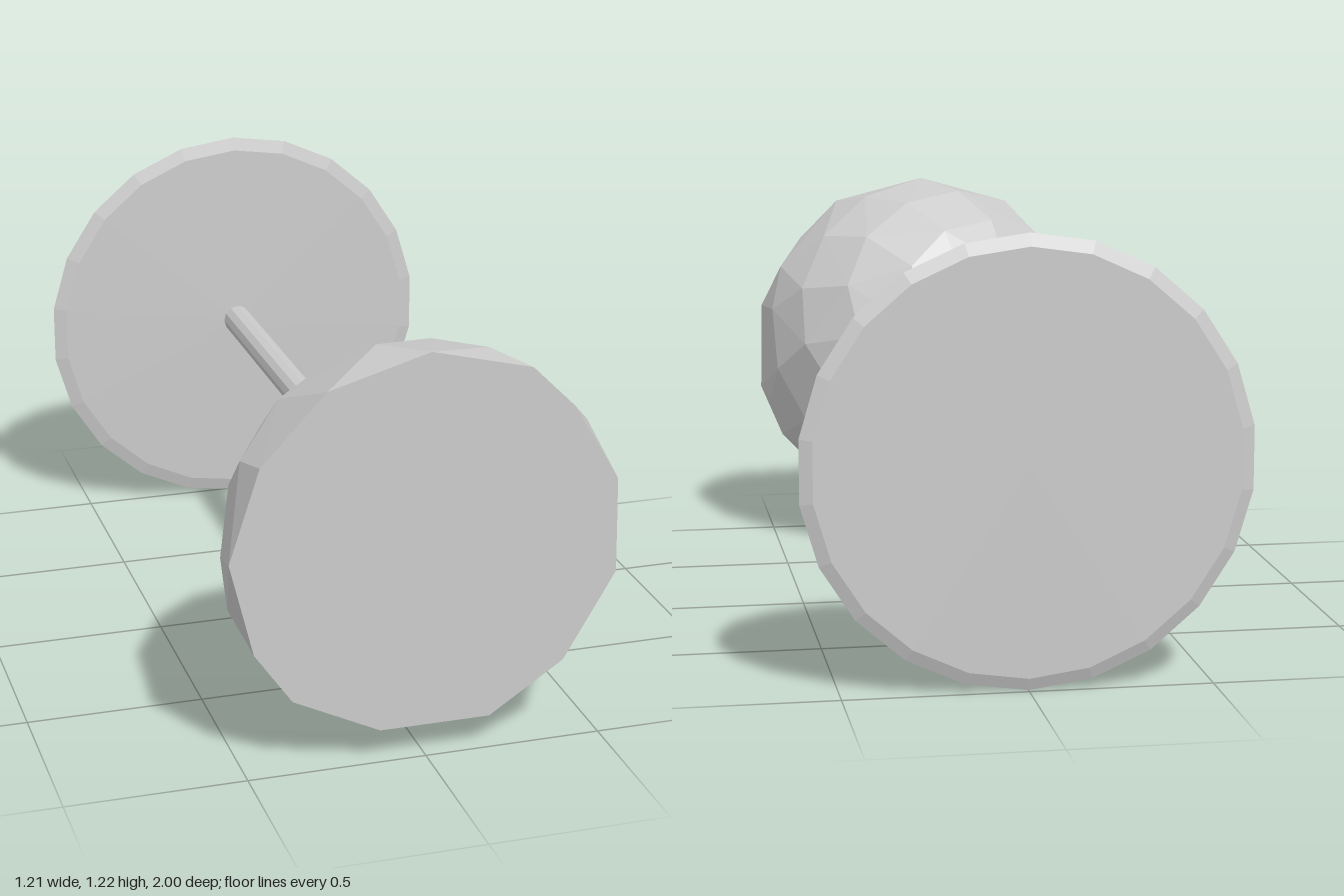
import * as THREE from 'three';
import { ConvexGeometry } from 'three/addons/geometries/ConvexGeometry.js';

export function createModel() {
  const model = new THREE.Group();
  const material = new THREE.MeshStandardMaterial({ color: 0xcccccc, flatShading: true });
  const add = (name, geometry) => {
    const mesh = new THREE.Mesh(geometry, material);
    mesh.name = name;
    model.add(mesh);
    return mesh;
  };
  const axisY = 0.612;

  // Bowl: faceted solid half-sphere with an irregular flat rim
  const rim = [
    [0, 1.16], [0.28, 1.09], [0.4, 0.97], [0.53, 0.75], [0.535, 0.48], [0.39, 0.235], [0.18, 0.095],
    [-0.13, 0.095], [-0.375, 0.215], [-0.48, 0.365], [-0.545, 0.63], [-0.46, 0.89], [-0.28, 1.08],
  ];
  const belly = [[0.475, 0.89], [0.475, 0.335], [0.275, 0.135], [0, 0.075], [-0.27, 0.145], [-0.525, 0.46]];
  const centre = new THREE.Vector3(-0.003, 0.618, 0.972);
  const radius = 0.543;
  const points = [
    ...rim.map(([x, y]) => new THREE.Vector3(x, y, 1)),
    ...belly.map(([x, y]) => new THREE.Vector3(x, y, 0.9)),
  ];
  // Evenly spiralled points over the rounded back
  const count = 48;
  for (let i = 0; i < count; i++) {
    const depth = 1 - (i / (count - 1)) * 0.87;
    const r = Math.sqrt(1 - depth * depth);
    const a = i * 2.39996;
    points.push(new THREE.Vector3(r * Math.cos(a), r * Math.sin(a), -depth).multiplyScalar(radius).add(centre));
  }
  add('bowl', new ConvexGeometry(points));

  // Stem
  const stemFront = 0.44, stemBack = -0.98;
  const stem = new THREE.CylinderGeometry(0.045, 0.045, stemFront - stemBack, 12).rotateX(Math.PI / 2);
  add('stem', stem).position.set(0.002, axisY, (stemFront + stemBack) / 2);

  // Foot: thin disc, flat behind and slightly domed towards the stem
  const profile = [[0, -1], [0.575, -1], [0.61, -0.986], [0.57, -0.975], [0, -0.962]]
    .map(([r, z]) => new THREE.Vector2(r, z));
  const foot = new THREE.LatheGeometry(profile, 22).rotateX(Math.PI / 2);
  add('foot', foot).position.set(0, 0.61, 0);

  return model;
}
